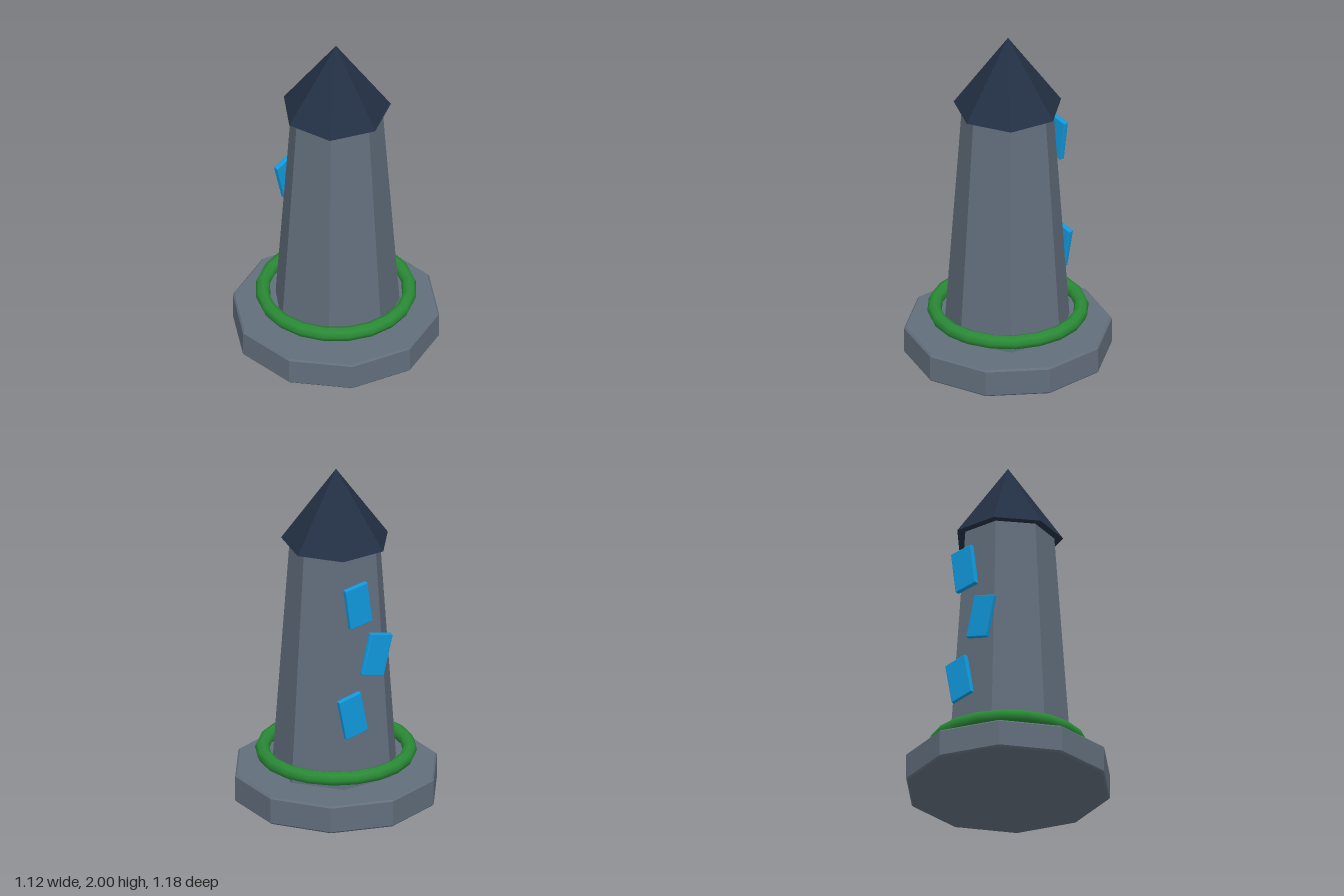
import * as THREE from 'three';
import { RoundedBoxGeometry } from 'three/addons/geometries/RoundedBoxGeometry.js';

const paint = (color, flatShading = true) =>
  new THREE.MeshStandardMaterial({ color, flatShading });

export function createModel() {
  const model = new THREE.Group();
  const stone = paint(0x626e7c);
  const slate = paint(0x233044);
  const moss = paint(0x2a8a36, false);
  const glow = paint(0x1199dd);

  const add = (name, geometry, material, x = 0, y = 0, z = 0) => {
    const mesh = new THREE.Mesh(geometry, material);
    mesh.name = name;
    mesh.position.set(x, y, z);
    model.add(mesh);
    return mesh;
  };

  // Ten-sided plinth with a fine bevel
  const profile = [[0, 0], [0.58, 0], [0.59, 0.01], [0.59, 0.157], [0.58, 0.167], [0, 0.167]]
    .map(([r, y]) => new THREE.Vector2(r, y));
  add('base', new THREE.LatheGeometry(profile, 10), stone);

  // Seven-sided tapering shaft and pointed roof
  add('shaft', new THREE.CylinderGeometry(0.262, 0.362, 1.41, 7), stone, 0, 0.857);
  add('roof', new THREE.ConeGeometry(0.312, 0.44, 7), slate, 0, 1.78);

  // Ring around the foot of the shaft
  const ring = new THREE.TorusGeometry(0.417, 0.041, 8, 20);
  ring.rotateX(Math.PI / 2);
  add('ring', ring, moss, 0, 0.264);

  // Tilted plates up the back: x, y, tilt
  const plate = new RoundedBoxGeometry(0.15, 0.25, 0.03, 1, 0.005);
  [[0.092, 0.608, -0.2], [-0.07, 0.95, 0.25], [0.055, 1.283, -0.14]].forEach(([x, y, tilt], i) => {
    add(`plate${i + 1}`, plate, glow, x, y, -0.31).rotation.z = tilt;
  });

  return model;
}
